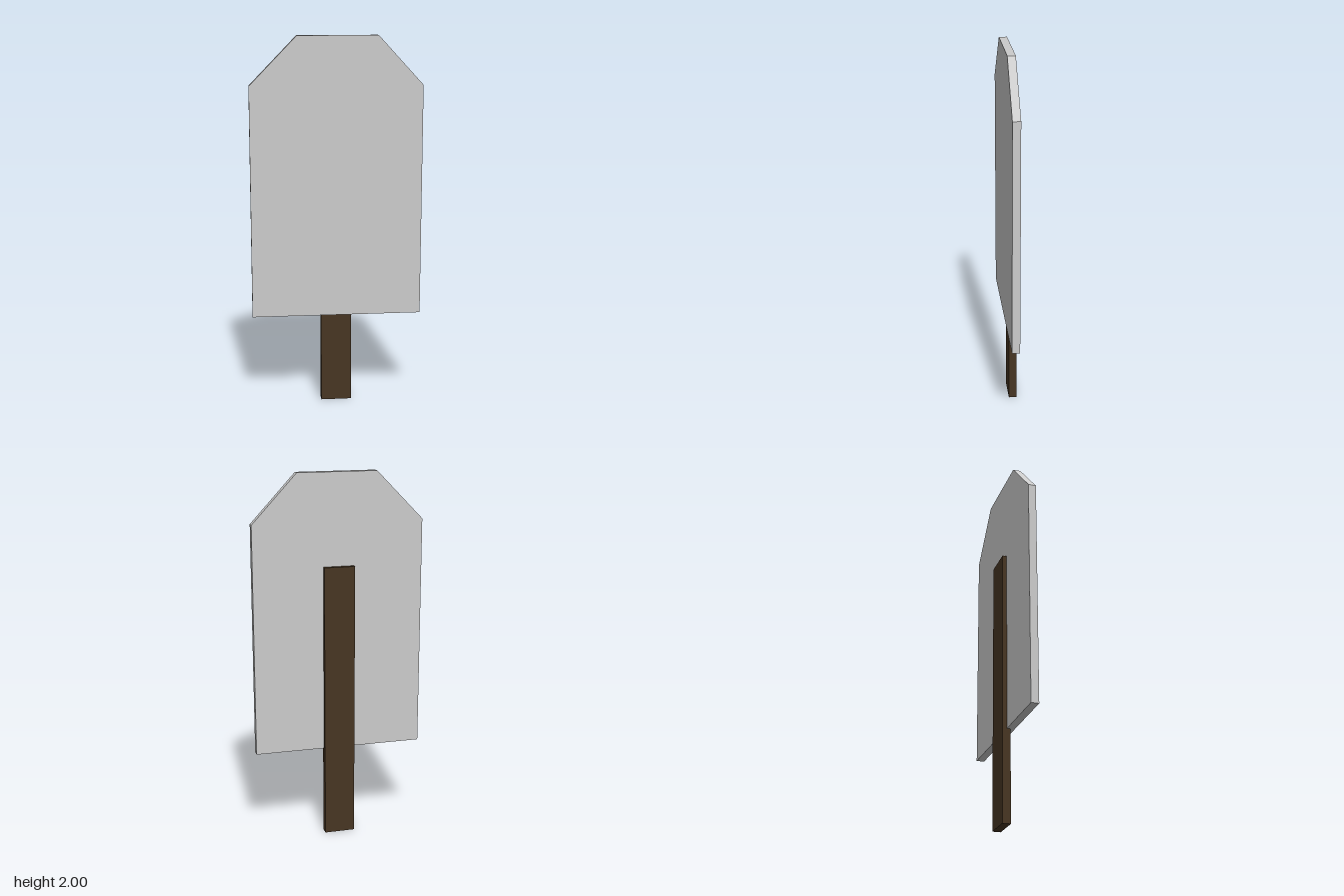
import * as THREE from 'three';

export function createModel() {
  const model = new THREE.Group();
  model.name = 'signpost';

  // Flat board with two clipped top corners
  const outline = new THREE.Shape([
    [-0.458, 0.497], [0.458, 0.497], [0.458, 1.742],
    [0.219, 2], [-0.207, 2], [-0.458, 1.742],
  ].map(([x, y]) => new THREE.Vector2(x, y)));
  const boardGeometry = new THREE.ExtrudeGeometry(outline, { depth: 0.042, bevelEnabled: false });
  boardGeometry.translate(0, 0, -0.009);
  const board = new THREE.Mesh(boardGeometry, new THREE.MeshStandardMaterial({ color: 0xcccccc }));
  board.name = 'board';
  model.add(board);

  // Wooden post, partly sunk into the back of the board
  const post = new THREE.Mesh(
    new THREE.BoxGeometry(0.166, 1.508, 0.044),
    new THREE.MeshStandardMaterial({ color: 0x473522 }),
  );
  post.name = 'post';
  post.position.set(-0.001, 0.754, -0.011);
  model.add(post);

  return model;
}
